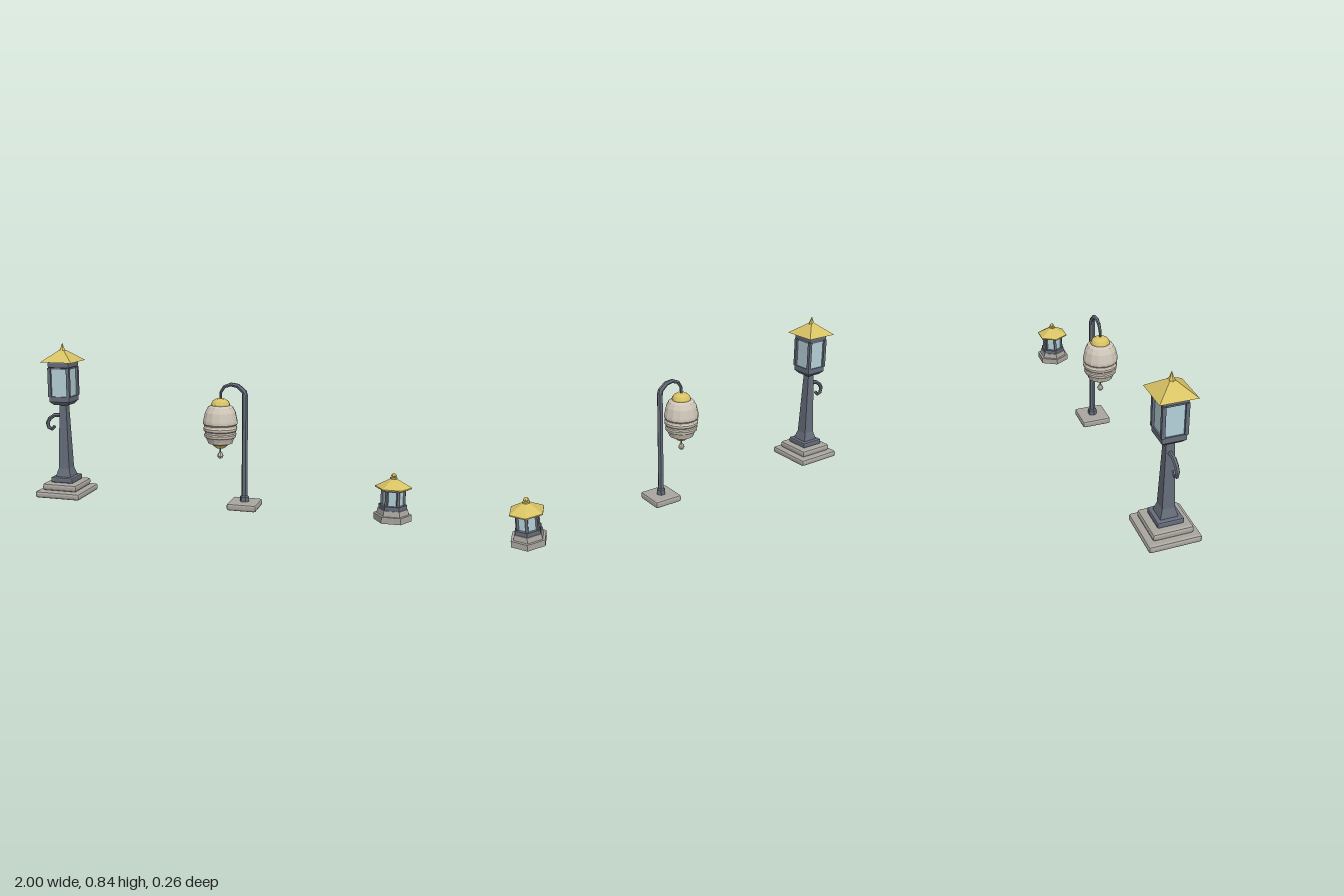
import * as THREE from 'three';
import { RoundedBoxGeometry } from 'three/addons/geometries/RoundedBoxGeometry.js';

const mat = (color) => new THREE.MeshStandardMaterial({ color, flatShading: true, side: THREE.DoubleSide });
const metal = mat(0x666d7a), gold = mat(0xd8c264), stone = mat(0xa9a69f),
  paper = mat(0xcfc6b8), glass = mat(0xb4d0d8);

function add(parent, name, geo, material, x = 0, y = 0, z = 0) {
  const m = new THREE.Mesh(geo, material);
  m.name = name;
  m.position.set(x, y, z);
  parent.add(m);
  return m;
}

// Prism or spindle from [half width across flats, y] pairs, with flat sides facing z
function spindle(parent, name, profile, sides, material, x = 0, z = 0) {
  const k = 1 / Math.cos(Math.PI / sides);
  const pts = profile.map(([r, y]) => new THREE.Vector2(r * k, y));
  const geo = new THREE.LatheGeometry(pts, sides);
  geo.rotateY(Math.PI / sides);
  return add(parent, name, geo, material, x, 0, z);
}

// Square slab with bevelled edges
function slab(parent, name, half, y0, y1, bevel, material) {
  return add(parent, name, new RoundedBoxGeometry(half * 2, y1 - y0, half * 2, 1, bevel), material, 0, (y0 + y1) / 2, 0);
}

// Faceted bent rod through points in the xy plane, tapering from r0 to r1
function rod(parent, name, points, r0, r1, sides = 6) {
  const path = new THREE.CurvePath();
  const v = points.map(([x, y]) => new THREE.Vector3(x, y, 0));
  const pos = [], index = [];
  v.forEach((p, i) => {
    const a = v[Math.max(i - 1, 0)], b = v[Math.min(i + 1, v.length - 1)];
    const t = b.clone().sub(a).normalize();
    const n = new THREE.Vector3(-t.y, t.x, 0);
    const r = r0 + (r1 - r0) * (i / (v.length - 1));
    for (let j = 0; j < sides; j++) {
      const ang = (j + 0.5) / sides * Math.PI * 2;
      pos.push(p.x + n.x * r * Math.cos(ang), p.y + n.y * r * Math.cos(ang), r * Math.sin(ang));
      if (i) {
        const k = (j + 1) % sides, u = (i - 1) * sides, w = i * sides;
        index.push(u + j, u + k, w + j, u + k, w + k, w + j);
      }
    }
  });
  // End caps
  const last = (v.length - 1) * sides;
  for (let j = 1; j < sides - 1; j++) {
    index.push(0, j + 1, j, last, last + j, last + j + 1);
  }
  const geo = new THREE.BufferGeometry();
  geo.setAttribute('position', new THREE.Float32BufferAttribute(pos, 3));
  geo.setIndex(index);
  geo.computeVertexNormals();
  return add(parent, name, geo, metal);
}

function streetLamp() {
  const g = new THREE.Group();
  g.name = 'streetLamp';
  // Stepped foot
  slab(g, 'lowerStep', 0.13, 0, 0.037, 0.013, stone);
  slab(g, 'upperStep', 0.1, 0.037, 0.075, 0.013, stone);
  slab(g, 'postCollar', 0.065, 0.075, 0.105, 0.008, metal);
  spindle(g, 'post', [[0, 0.1], [0.045, 0.1], [0.042, 0.112], [0.031, 0.15], [0.019, 0.51], [0, 0.51]], 4, metal);
  // Side hook
  rod(g, 'hook', [[-0.015, 0.442], [-0.06, 0.44], [-0.09, 0.42], [-0.104, 0.395],
    [-0.098, 0.37], [-0.077, 0.361], [-0.062, 0.378]], 0.012, 0.009);
  // Lantern head
  spindle(g, 'headBase', [[0, 0.503], [0.04, 0.503], [0.058, 0.522], [0.058, 0.55], [0, 0.55]], 4, metal);
  spindle(g, 'pane', [[0.051, 0.55], [0.051, 0.705]], 4, glass);
  for (const x of [-1, 1]) for (const z of [-1, 1])
    add(g, 'cornerBar', new THREE.BoxGeometry(0.017, 0.157, 0.017), metal, x * 0.054, 0.6275, z * 0.054);
  spindle(g, 'paneTop', [[0, 0.698], [0.055, 0.698], [0.055, 0.71], [0, 0.71]], 4, metal);
  slab(g, 'headTop', 0.062, 0.706, 0.738, 0.007, metal);
  // Roof with finial
  spindle(g, 'roof', [[0, 0.738], [0.09, 0.738], [0.014, 0.797], [0, 0.797]], 4, gold);
  spindle(g, 'finial', [[0, 0.794], [0.016, 0.794], [0.008, 0.812], [0.004, 0.825], [0, 0.837]], 6, gold);
  return g;
}

function hangingLamp() {
  const g = new THREE.Group();
  g.name = 'hangingLamp';
  slab(g, 'foot', 0.078, 0, 0.037, 0.011, stone);
  spindle(g, 'poleCollar', [[0, 0.035], [0.021, 0.035], [0.021, 0.062], [0.014, 0.068], [0, 0.068]], 6, metal);
  spindle(g, 'pole', [[0.0135, 0.06], [0.0135, 0.6]], 6, metal);
  rod(g, 'arm', [[0, 0.59], [-0.004, 0.612], [-0.038, 0.642], [-0.075, 0.648],
    [-0.11, 0.635], [-0.129, 0.605], [-0.13, 0.565]], 0.0155, 0.006);
  // Hanging paper lantern
  const x = -0.131, sides = 14;
  spindle(g, 'lanternCap', [[0, 0.573], [0.022, 0.572], [0.04, 0.56], [0.048, 0.545], [0.048, 0.537], [0, 0.537]], sides, gold, x);
  spindle(g, 'lanternBody', [[0.044, 0.54], [0.064, 0.529], [0.078, 0.503], [0.087, 0.462], [0.088, 0.455],
    [0.088, 0.443], [0.083, 0.436], [0.083, 0.427], [0.087, 0.421], [0.086, 0.409], [0.08, 0.403],
    [0.079, 0.393], [0.083, 0.387], [0.08, 0.373], [0.073, 0.368], [0.066, 0.352], [0.062, 0.34], [0.042, 0.333]], sides, paper, x);
  spindle(g, 'lanternBottom', [[0, 0.338], [0.045, 0.338], [0.04, 0.33], [0.022, 0.314], [0, 0.314]], sides, gold, x);
  spindle(g, 'pendantLink', [[0.004, 0.28], [0.004, 0.318]], 6, metal, x);
  spindle(g, 'pendant', [[0, 0.257], [0.009, 0.259], [0.015, 0.27], [0.013, 0.281], [0.005, 0.293], [0, 0.293]], 8, paper, x);
  return g;
}

function gardenLantern() {
  const g = new THREE.Group();
  g.name = 'gardenLantern';
  spindle(g, 'lowerBase', [[0, 0], [0.081, 0], [0.081, 0.033], [0, 0.033]], 6, stone);
  spindle(g, 'upperBase', [[0.069, 0.033], [0.064, 0.06], [0, 0.06]], 6, stone);
  spindle(g, 'sill', [[0.06, 0.058], [0.06, 0.081], [0, 0.081]], 6, metal);
  spindle(g, 'panes', [[0.046, 0.08], [0.046, 0.157]], 6, glass);
  for (let i = 0; i < 6; i++) {
    const a = i * Math.PI / 3;
    const bar = add(g, 'cornerBar', new THREE.BoxGeometry(0.013, 0.078, 0.013), metal, Math.cos(a) * 0.054, 0.118, Math.sin(a) * 0.054);
    bar.rotation.y = -a;
  }
  spindle(g, 'lintel', [[0, 0.155], [0.06, 0.155], [0.06, 0.168], [0, 0.168]], 6, metal);
  // Roof with ball finial
  spindle(g, 'roof', [[0, 0.165], [0.078, 0.165], [0.078, 0.171], [0.012, 0.213], [0, 0.213]], 6, gold);
  spindle(g, 'finial', [[0, 0.211], [0.016, 0.211], [0.016, 0.218], [0.008, 0.22], [0.013, 0.226], [0.008, 0.235], [0, 0.24]], 6, gold);
  return g;
}

export function createModel() {
  const model = new THREE.Group();
  model.name = 'lampSet';
  [[streetLamp, -0.87], [hangingLamp, 0.145], [gardenLantern, 0.906]].forEach(([build, x]) => {
    const lamp = build();
    lamp.position.x = x;
    model.add(lamp);
  });
  return model;
}
